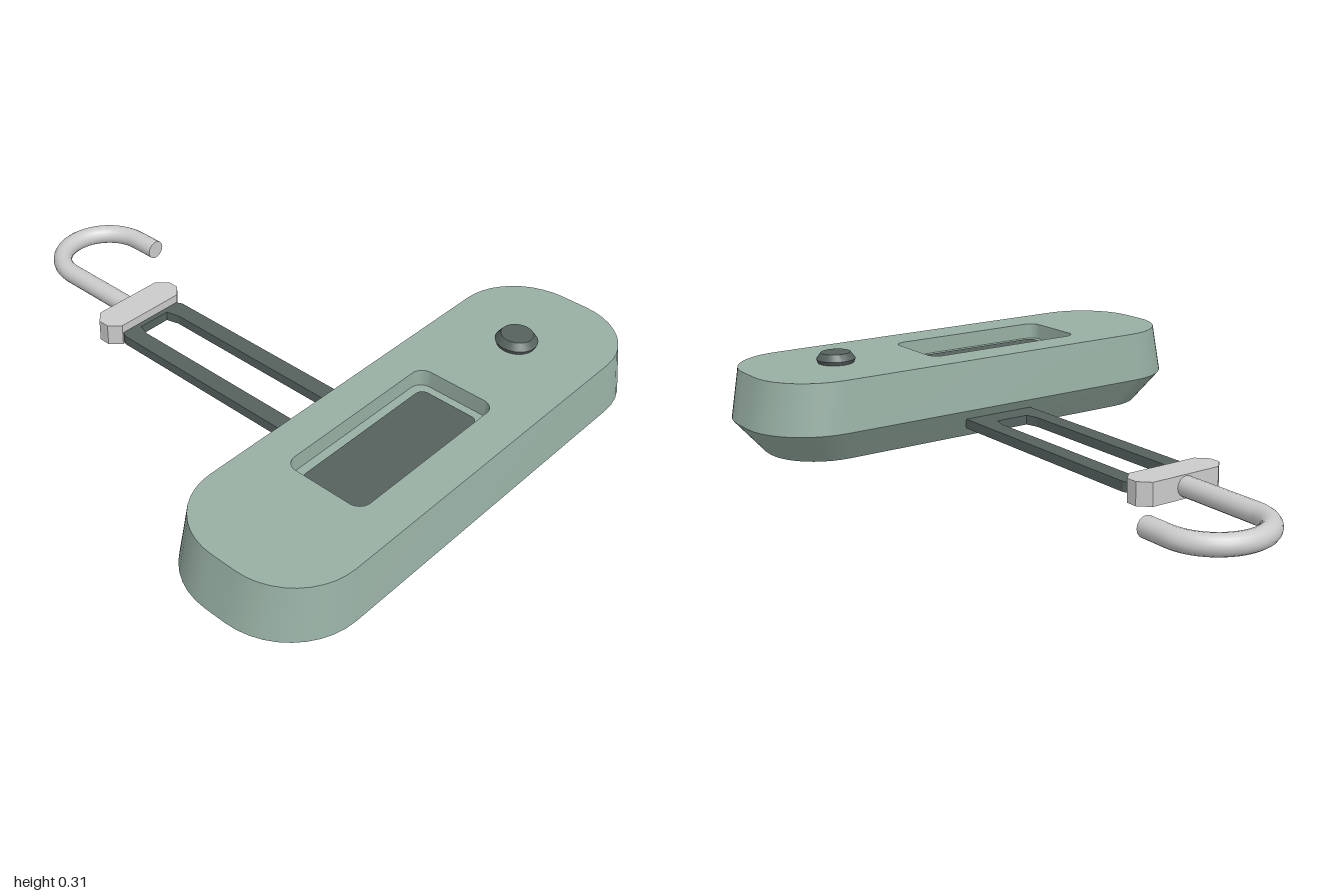
import * as THREE from 'three';
import { toCreasedNormals } from 'three/addons/utils/BufferGeometryUtils.js';

const material = (color) => new THREE.MeshStandardMaterial({ color });
const green = material(0x98b0a4);
const dark = material(0x56625f);
const grey = material(0xcccccc);

// Rounded rectangle at height y; segs = 1 gives chamfered corners
function ring({ x = 0, z = 0, y, hx, hz, r }, segs) {
  const points = [];
  [[1, 1], [-1, 1], [-1, -1], [1, -1]].forEach(([sx, sz], corner) => {
    for (let i = 0; i <= segs; i++) {
      const a = (corner + i / segs) * Math.PI / 2;
      points.push([x + sx * (hx - r) + r * Math.cos(a), y, z + sz * (hz - r) + r * Math.sin(a)]);
    }
  });
  return points;
}

// Skin through a list of rounded rectangles, closed at both ends
function loft(sections, segs, crease = 0.4) {
  const rings = sections.map((s) => ring(s, segs));
  const n = rings[0].length;
  const positions = [];
  const tri = (...corners) => corners.forEach((c) => positions.push(...c));
  const centre = ({ x = 0, y, z = 0 }) => [x, y, z];
  const last = rings.length - 1;
  for (let i = 0; i < n; i++) {
    const j = (i + 1) % n;
    tri(centre(sections[0]), rings[0][i], rings[0][j]);
    for (let k = 0; k < last; k++) {
      const a = rings[k], b = rings[k + 1];
      tri(a[i], b[i], a[j]);
      tri(a[j], b[i], b[j]);
    }
    tri(centre(sections[last]), rings[last][j], rings[last][i]);
  }
  const geometry = new THREE.BufferGeometry();
  geometry.setAttribute('position', new THREE.Float32BufferAttribute(positions, 3));
  return toCreasedNormals(geometry, crease);
}

// Flat chamfered outline for the strap
function chamferedPath(path, x0, x1, y0, y1, cx, cy) {
  path.moveTo(x0 + cx, y0);
  [[x1 - cx, y0], [x1, y0 + cy], [x1, y1 - cy], [x1 - cx, y1],
    [x0 + cx, y1], [x0, y1 - cy], [x0, y0 + cy]].forEach(([x, y]) => path.lineTo(x, y));
  path.closePath();
  return path;
}

export function createModel() {
  const group = new THREE.Group();
  const add = (name, geometry, mat) => {
    const mesh = new THREE.Mesh(geometry, mat);
    mesh.name = name;
    group.add(mesh);
    return mesh;
  };

  // Housing: tapered rounded case, with the display recess sunk into its top
  const z = 0.72, wx = -0.113;
  add('housing', loft([
    { z, y: 0, hx: 0.745, hz: 0.2, r: 0.19 },
    { z, y: 0.11, hx: 0.835, hz: 0.277, r: 0.24 },
    { z, y: 0.28, hx: 0.803, hz: 0.258, r: 0.215 },
    { x: wx, z: 0.715, y: 0.28, hx: 0.303, hz: 0.135, r: 0.04 },
    { x: wx, z: 0.715, y: 0.225, hx: 0.303, hz: 0.135, r: 0.04 },
  ], 10), green);

  // Display panel on the floor of the recess
  add('display', loft([
    { x: wx, z: 0.715, y: 0.222, hx: 0.273, hz: 0.105, r: 0.025 },
    { x: wx, z: 0.715, y: 0.229, hx: 0.273, hz: 0.105, r: 0.025 },
  ], 6), dark);

  // Push button with a flared rim
  const profile = [[0, 0.275], [0.058, 0.275], [0.066, 0.293], [0.05, 0.315], [0, 0.315]]
    .map(([r, y]) => new THREE.Vector2(r, y));
  const button = add('button', toCreasedNormals(new THREE.LatheGeometry(profile, 32), 0.4), dark);
  button.position.set(0.49, 0, 0.715);

  // Slotted strap between housing and hook block
  const strap = chamferedPath(new THREE.Shape(), -0.133, 0.133, -0.42, 0.5, 0.015, 0.03);
  strap.holes.push(chamferedPath(new THREE.Path(), -0.072, 0.072, -0.392, 0.385, 0.012, 0.045));
  const strapGeometry = new THREE.ExtrudeGeometry(strap, { depth: 0.033, bevelEnabled: false });
  strapGeometry.rotateX(Math.PI / 2);
  add('strap', strapGeometry, dark).position.y = 0.075;

  // Chamfered hook block
  add('hookBlock', loft([0.03, 0.105].map((y) => (
    { z: -0.465, y, hx: 0.162, hz: 0.055, r: 0.035 })), 1), grey);

  // Hook: straight shank, half circle and short tip
  const R = 0.157, y = 0.068, bendZ = -0.81;
  const path = new THREE.CurvePath();
  const arc = [];
  for (let i = 0; i <= 24; i++) {
    const a = Math.PI * i / 24;
    arc.push(new THREE.Vector3(R - R * Math.cos(a), y, bendZ - R * Math.sin(a)));
  }
  path.add(new THREE.LineCurve3(new THREE.Vector3(0, y, -0.48), arc[0]));
  path.add(new THREE.CatmullRomCurve3(arc));
  path.add(new THREE.LineCurve3(arc[24], new THREE.Vector3(2 * R, y, -0.715)));
  add('hook', new THREE.TubeGeometry(path, 64, 0.033, 16), grey);

  // Flat end of the hook tip
  add('hookTip', new THREE.CircleGeometry(0.033, 16), grey).position.set(2 * R, y, -0.715);

  return group;
}
